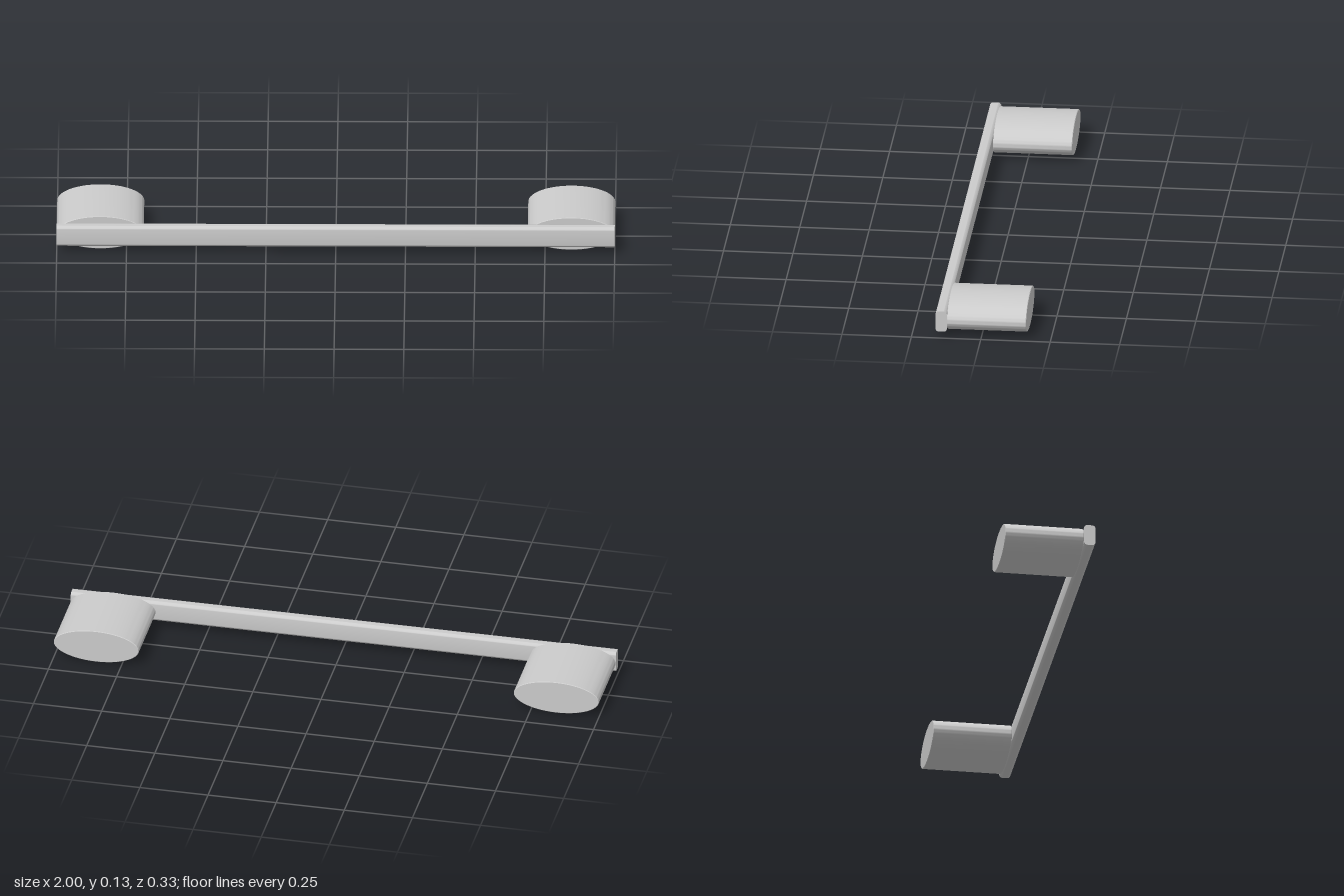
import * as THREE from 'three';
import { toCreasedNormals } from 'three/addons/utils/BufferGeometryUtils.js';

const MID_Y = 0.063;

// Extrudes a shape, centred along its depth, with smooth sides and sharp caps
function extrude(shape, depth, bevel, curveSegments) {
  const geometry = new THREE.ExtrudeGeometry(shape, {
    depth: depth - 2 * bevel,
    curveSegments,
    bevelEnabled: bevel > 0,
    bevelThickness: bevel,
    bevelSize: bevel,
    bevelOffset: -bevel,
    bevelSegments: 1,
  });
  geometry.translate(0, 0, bevel - depth / 2);
  return toCreasedNormals(geometry, Math.PI / 5);
}

function roundedRect(w, h, r) {
  const x = w / 2 - r, y = h / 2 - r;
  const shape = new THREE.Shape();
  shape.absarc(x, y, r, 0, Math.PI / 2);
  shape.absarc(-x, y, r, Math.PI / 2, Math.PI);
  shape.absarc(-x, -y, r, Math.PI, Math.PI * 1.5);
  shape.absarc(x, -y, r, Math.PI * 1.5, Math.PI * 2);
  return shape;
}

export function createModel() {
  const model = new THREE.Group();
  model.name = 'barHandle';
  const material = new THREE.MeshStandardMaterial({ color: 0xcccccc });

  // Long grip bar with rounded long edges and flat ends
  const barGeometry = extrude(roundedRect(0.041, 0.078, 0.012), 2, 0, 6);
  barGeometry.rotateY(Math.PI / 2);
  const bar = new THREE.Mesh(barGeometry, material);
  bar.name = 'gripBar';
  bar.position.set(0, MID_Y + 0.001, 0.1425);
  model.add(bar);

  // Elliptical mounting posts behind each end of the bar
  const ellipse = new THREE.Shape();
  ellipse.absellipse(0, 0, 0.156, MID_Y, 0, Math.PI * 2);
  const postGeometry = extrude(ellipse, 0.285, 0.002, 36);
  for (const side of [-1, 1]) {
    const post = new THREE.Mesh(postGeometry, material);
    post.name = side > 0 ? 'leftPost' : 'rightPost';
    post.position.set(side * 0.844, MID_Y, -0.0205);
    model.add(post);
  }
  return model;
}
